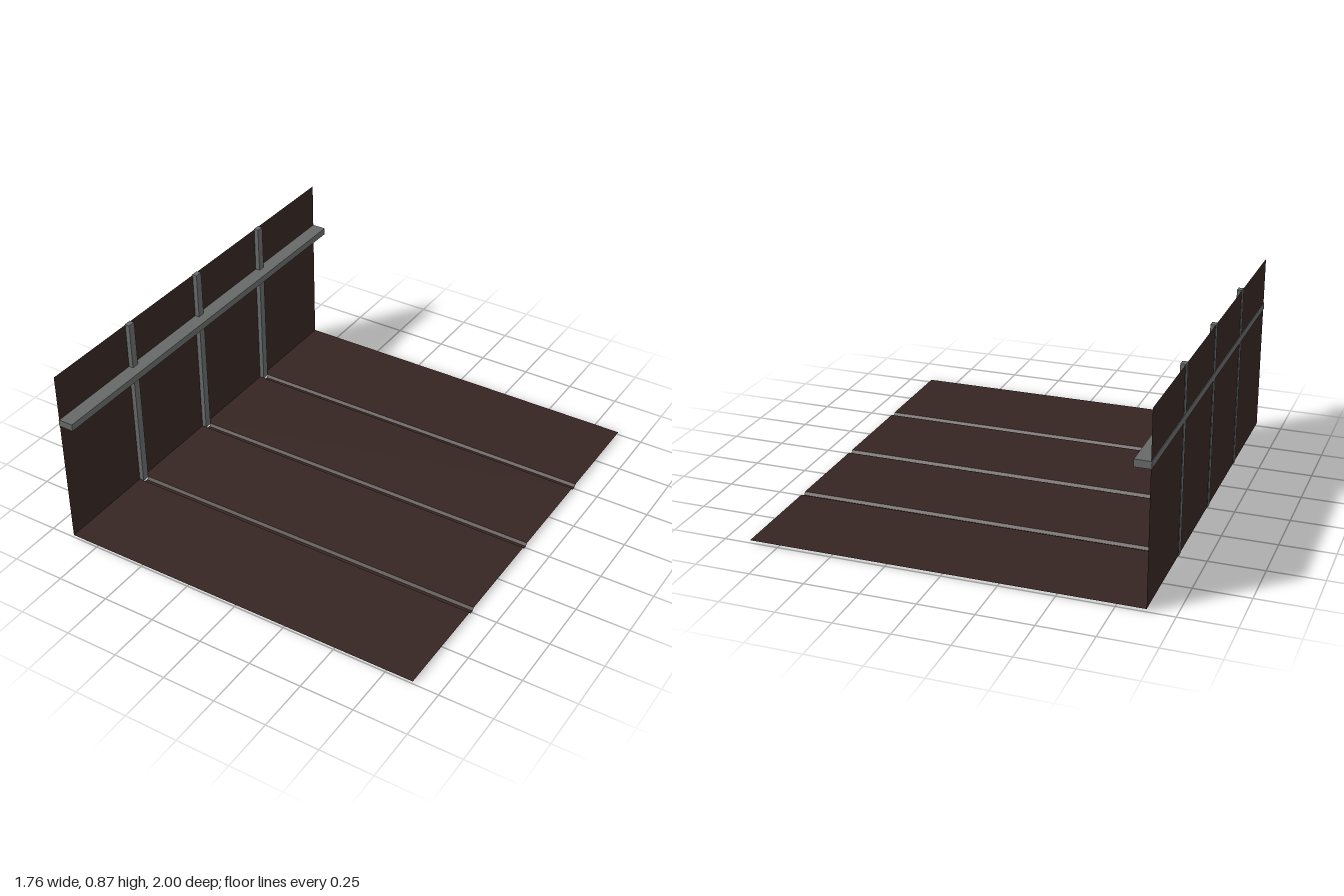
import * as THREE from 'three';

const wood = new THREE.MeshStandardMaterial({ color: 0x352522, side: THREE.DoubleSide, flatShading: true });
const metal = new THREE.MeshStandardMaterial({ color: 0x666868 });

const SEAMS = [-0.5, 0, 0.5];
const HALF = 0.018;          // half width of a post and of a floor groove
const FLOOR_Y = 0.013;

function add(group, name, geometry, material) {
  const mesh = new THREE.Mesh(geometry, material);
  mesh.name = name;
  group.add(mesh);
  return mesh;
}

function box(group, name, [x0, x1], [y0, y1], [z0, z1]) {
  const mesh = add(group, name, new THREE.BoxGeometry(x1 - x0, y1 - y0, z1 - z0), metal);
  mesh.position.set((x0 + x1) / 2, (y0 + y1) / 2, (z0 + z1) / 2);
}

// Sheet that runs along x and follows a profile of [z, y] points
function ribbon(profile, x0, x1) {
  const geometry = new THREE.PlaneGeometry(1, 1, 1, profile.length - 1);
  const pos = geometry.attributes.position;
  profile.forEach(([z, y], i) => {
    pos.setXYZ(2 * i, x0, y, z);
    pos.setXYZ(2 * i + 1, x1, y, z);
  });
  geometry.computeVertexNormals();
  return geometry;
}

export function createModel() {
  const group = new THREE.Group();
  group.name = 'floorAndWall';

  // Floor sheet with a shallow groove at every seam
  const profile = [[-1, FLOOR_Y]];
  for (const z of SEAMS) {
    profile.push([z - HALF, FLOOR_Y], [z - HALF / 2, 0], [z + HALF / 2, 0], [z + HALF, FLOOR_Y]);
  }
  profile.push([1, FLOOR_Y]);
  add(group, 'floor', ribbon(profile, -0.857, 0.88), wood);

  // Wall panels between the posts, with the floor strip at their foot
  const edges = [-1, ...SEAMS, 1];
  for (let i = 0; i < 4; i++) {
    const z0 = edges[i] + (i > 0 ? HALF : 0);
    const z1 = edges[i + 1] - (i < 3 ? HALF : 0);
    add(group, 'floorEdge', ribbon([[z0, FLOOR_Y], [z1, FLOOR_Y]], -0.879, -0.857), wood);
    const panel = add(group, 'wallPanel', new THREE.PlaneGeometry(z1 - z0, 0.87 - FLOOR_Y), wood);
    panel.rotation.y = Math.PI / 2;
    panel.position.set(-0.879, (0.87 + FLOOR_Y) / 2, (z0 + z1) / 2);
  }

  // Posts and the long rail
  for (const z of SEAMS) {
    box(group, 'post', [-0.881, -0.857], [0.011, 0.872], [z - HALF, z + HALF]);
  }
  box(group, 'rail', [-0.882, -0.81], [0.617, 0.65], [-1, 1]);

  return group;
}
